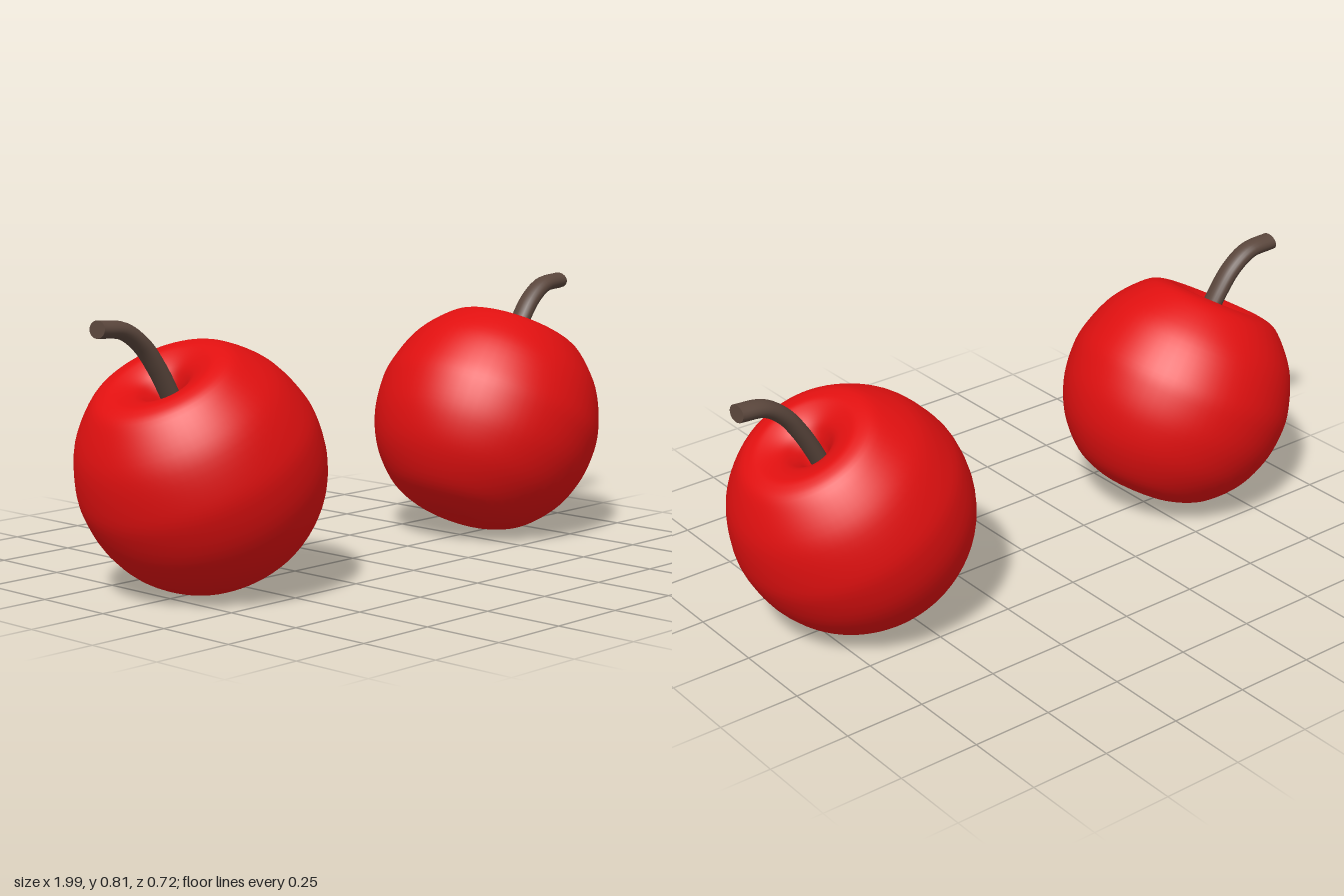
import * as THREE from 'three';

const TILT = 0.5;      // outward lean of each fruit
const STEM_R = 0.025;  // stem radius in the plane of its bend
const STEM_WIDE = 1.38; // stem is wider front to back

const skin = new THREE.MeshStandardMaterial({ color: 0xe01010 });
const bark = new THREE.MeshStandardMaterial({ color: 0x5a463c });

// Round body with a slightly flat base and a funnel-shaped hollow on top
function bodyGeometry() {
  const profile = [
    [0, -0.333], [0.06, -0.333], [0.13, -0.326], [0.22, -0.285], [0.3, -0.2], [0.345, -0.1],
    [0.359, 0], [0.35, 0.085], [0.305, 0.2], [0.225, 0.293], [0.17, 0.317], [0.13, 0.313],
    [0.085, 0.293], [0.055, 0.262], [0.03, 0.225], [0, 0.2],
  ].map(([r, y]) => new THREE.Vector2(r, y));
  const points = new THREE.SplineCurve(profile).getPoints(75);
  points.forEach((p) => { p.x = Math.max(p.x, 0); });
  points[0].x = points[points.length - 1].x = 0;
  return new THREE.LatheGeometry(points, 64);
}

// Curved oval stem with a flat cut end
function createStem(side, drift) {
  const path = [[0.715, 0.53], [0.75, 0.6], [0.79, 0.668], [0.84, 0.733], [0.905, 0.778], [0.992, 0.789]];
  const curve = new THREE.CatmullRomCurve3(path.map(([x, y]) => new THREE.Vector3(side * x, y, 0)));
  const stem = new THREE.Group();
  stem.name = 'stem';

  const tube = new THREE.TubeGeometry(curve, 32, STEM_R, 20, false);
  tube.scale(1, 1, STEM_WIDE);
  const shaft = new THREE.Mesh(tube, bark);
  shaft.name = 'stemShaft';

  const cap = new THREE.Mesh(new THREE.CircleGeometry(STEM_R, 20), bark);
  cap.name = 'stemEnd';
  cap.scale.x = STEM_WIDE;
  cap.position.copy(curve.getPoint(1));
  cap.lookAt(curve.getPoint(1).add(curve.getTangent(1)));

  stem.add(shaft, cap);
  // Slight sideways turn about the stem's root
  const pivot = new THREE.Group();
  pivot.name = 'stemPivot';
  stem.position.x = -side * 0.75;
  pivot.position.x = side * 0.75;
  pivot.rotation.y = drift;
  pivot.add(stem);
  return pivot;
}

export function createModel() {
  const model = new THREE.Group();
  model.name = 'fruitPair';
  const geometry = bodyGeometry();
  for (const side of [1, -1]) {
    const fruit = new THREE.Group();
    fruit.name = side > 0 ? 'leftFruit' : 'rightFruit';
    const body = new THREE.Mesh(geometry, skin);
    body.name = 'fruitBody';
    body.position.set(side * 0.625, 0.362, 0);
    body.rotation.z = -side * TILT;
    fruit.add(body, createStem(side, side > 0 ? 0.01 : -0.055));
    model.add(fruit);
  }
  return model;
}
